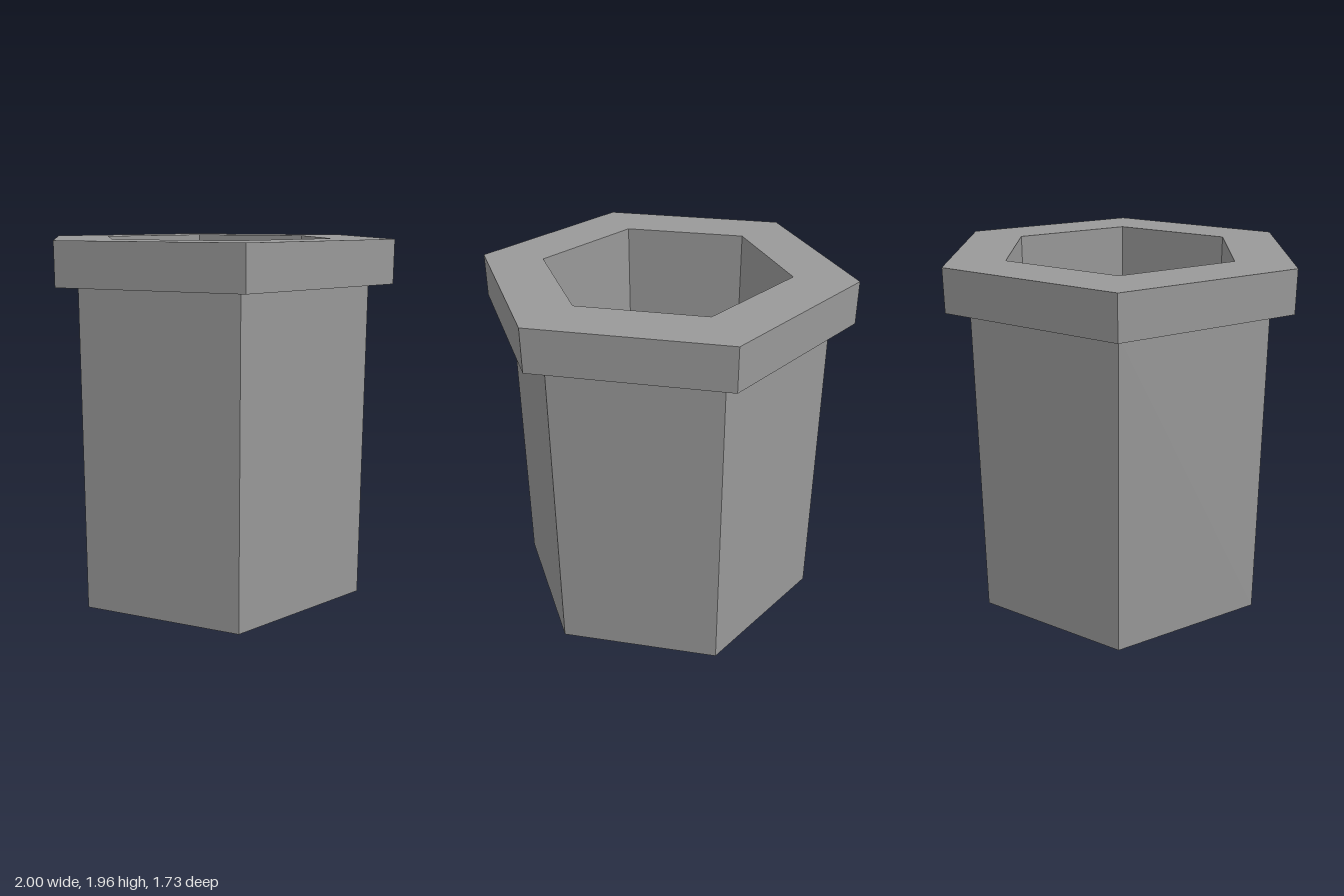
import * as THREE from 'three';

// Six-sided open shell following a [radius, height] profile, corners on the x axis
function hexShell(profile) {
  const points = profile.map(([r, y]) => new THREE.Vector2(r, y));
  const geometry = new THREE.LatheGeometry(points, 6, Math.PI / 2).toNonIndexed();
  geometry.computeVertexNormals();
  return geometry;
}

export function createModel() {
  const grey = new THREE.MeshStandardMaterial({
    color: 0x999999, flatShading: true, side: THREE.DoubleSide,
  });
  grey.name = 'grey';

  const bodyRadius = 0.87, collarRadius = 1, wellRadius = 0.665;
  const collarBottom = 1.73, top = 1.96, floorY = 0.15;

  const model = new THREE.Group();
  model.name = 'hexagonalPot';
  const add = (name, geometry) => {
    const mesh = new THREE.Mesh(geometry, grey);
    mesh.name = name;
    model.add(mesh);
  };

  // Outer wall, open at the bottom
  add('outerWall', hexShell([[bodyRadius, 0], [bodyRadius, collarBottom]]));

  // Collar: underside, rim side and flat top
  add('collar', hexShell([
    [bodyRadius, collarBottom], [collarRadius, collarBottom],
    [collarRadius, top], [wellRadius, top],
  ]));

  // Well hanging inside the outer wall, with a raised floor
  add('innerWall', hexShell([[wellRadius, top], [wellRadius, floorY]]));
  const floor = new THREE.CircleGeometry(wellRadius, 6);
  floor.rotateX(-Math.PI / 2).translate(0, floorY, 0);
  add('floor', floor);

  return model;
}
